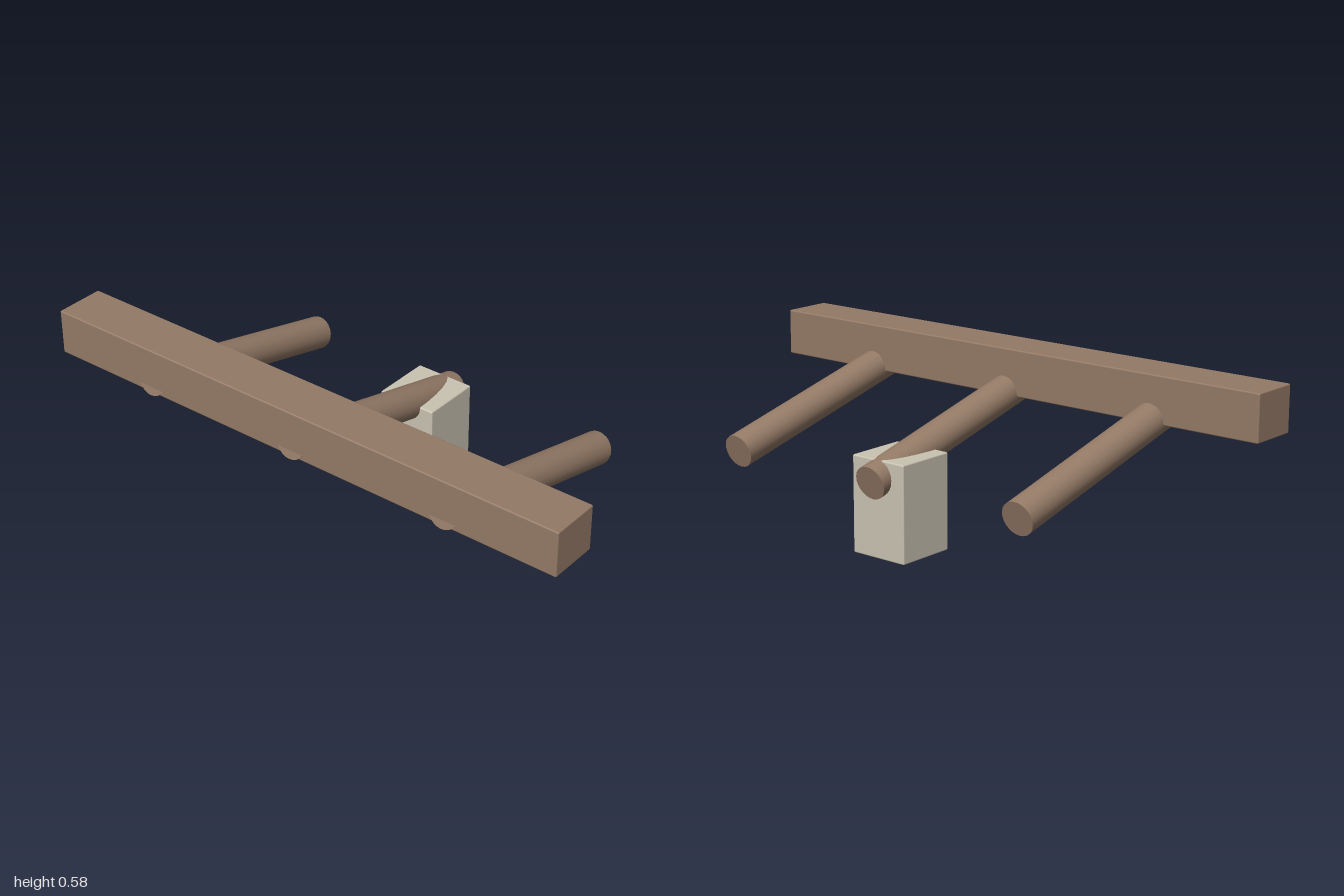
import * as THREE from 'three';
import { RoundedBoxGeometry } from 'three/addons/geometries/RoundedBoxGeometry.js';

export function createModel() {
  const group = new THREE.Group();
  const wood = new THREE.MeshStandardMaterial({ color: 0x947a66 });
  wood.name = 'wood';
  const stone = new THREE.MeshStandardMaterial({ color: 0xc9c3b2 });
  stone.name = 'stone';

  const add = (name, geometry, material, x, y, z) => {
    const mesh = new THREE.Mesh(geometry, material);
    mesh.name = name;
    mesh.position.set(x, y, z);
    group.add(mesh);
    return mesh;
  };

  // Long front beam with slightly softened edges
  add('beam', new RoundedBoxGeometry(2, 0.16, 0.178, 2, 0.005), wood, 0, 0.502, 0.336);

  // Three round poles sloping down towards the back
  const poleGeometry = new THREE.CylinderGeometry(0.0577, 0.0577, 0.86, 24);
  const poles = { rightPole: -0.592, middlePole: 0, leftPole: 0.592 };
  for (const [name, x] of Object.entries(poles)) {
    add(name, poleGeometry, wood, x, 0.365, 0.001).rotation.x = 1.321;
  }

  // Block that carries the middle pole
  add('supportBlock', new RoundedBoxGeometry(0.215, 0.327, 0.215, 2, 0.005), stone, 0, 0.1635, -0.272);

  return group;
}
